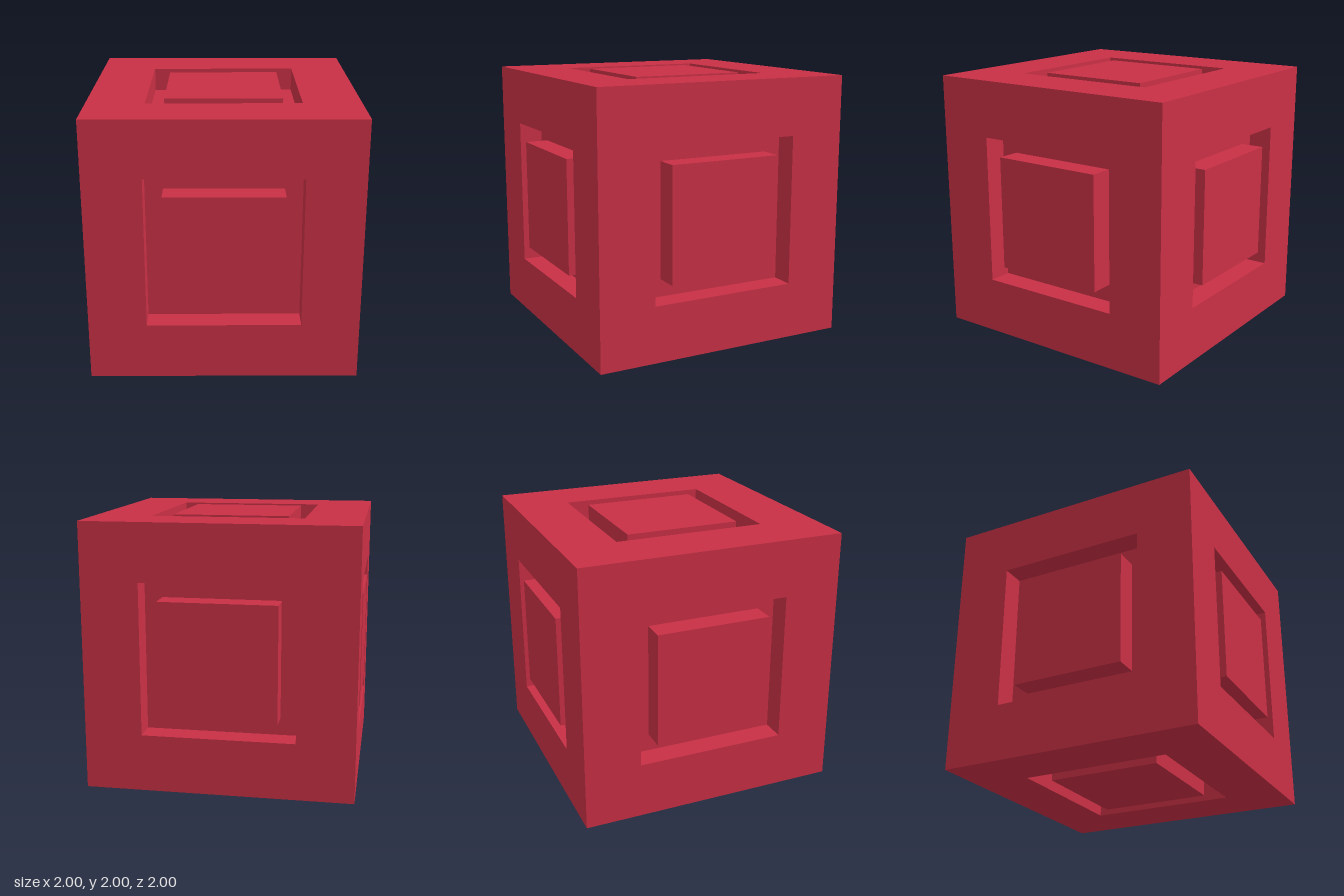
import * as THREE from 'three';

const HALF = 1;        // half the cube's edge
const OUTER = 0.57;    // half-width of the square recess
const INNER = 0.437;   // half-width of the raised panel
const FLOOR = HALF - 0.18; // height of the groove floor above the centre

// Square "lathe": sweeps a profile of [half-width, height] round four flat sides
function squareLathe(profile) {
  const points = profile.map(([w, h]) => new THREE.Vector2(w * Math.SQRT2, h));
  const geometry = new THREE.LatheGeometry(points, 4, Math.PI / 4).toNonIndexed();
  geometry.computeVertexNormals();
  return geometry;
}

export function createModel() {
  const group = new THREE.Group();
  group.name = 'groovedCube';
  const material = new THREE.MeshStandardMaterial({ color: 0xc93045, flatShading: true });

  // Flat border, recess walls and groove floor
  const frame = squareLathe([[HALF, HALF], [OUTER, HALF], [OUTER, FLOOR], [INNER, FLOOR]]);
  // Centre panel rising flush with the border
  const panel = squareLathe([[INNER, FLOOR], [INNER, HALF], [0, HALF]]);

  // The same side repeated on all six faces
  const turn = Math.PI / 2;
  const sides = [
    ['top', 0, 0], ['bottom', 2 * turn, 0],
    ['front', turn, 0], ['back', -turn, 0],
    ['left', 0, -turn], ['right', 0, turn],
  ];
  for (const [name, rx, rz] of sides) {
    const side = new THREE.Group();
    side.name = name + 'Side';
    for (const [part, geometry] of [['Frame', frame], ['Panel', panel]]) {
      const mesh = new THREE.Mesh(geometry, material);
      mesh.name = name + part;
      side.add(mesh);
    }
    side.rotation.set(rx, 0, rz);
    side.position.y = HALF;
    group.add(side);
  }
  return group;
}
